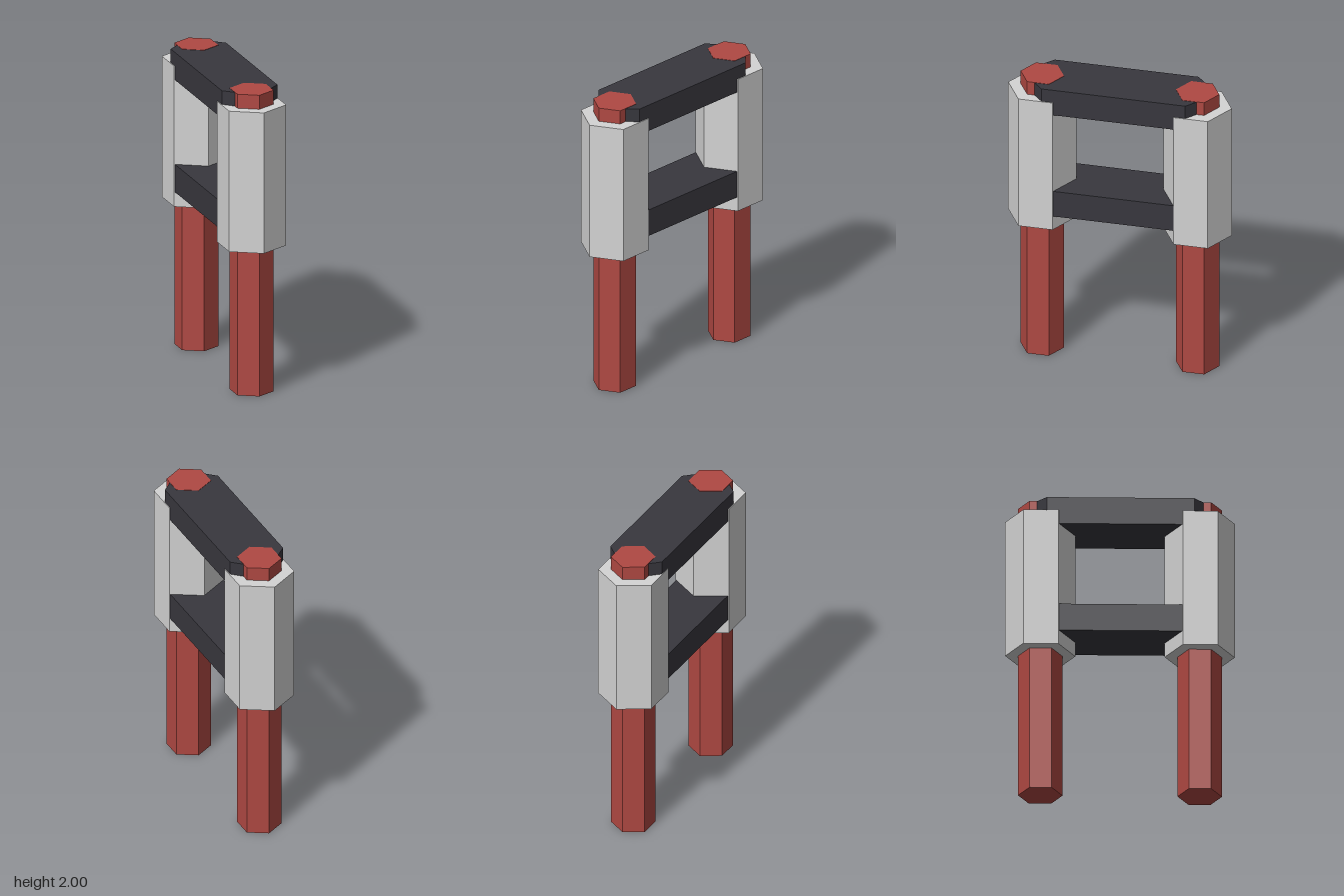
import * as THREE from 'three';

const red = new THREE.MeshStandardMaterial({ name: 'brick red', color: 0xb04943, flatShading: true });
const grey = new THREE.MeshStandardMaterial({ name: 'light grey', color: 0xd4d4d4, flatShading: true });
const dark = new THREE.MeshStandardMaterial({ name: 'charcoal', color: 0x38373e, flatShading: true });

// Hexagonal prism with corners pointing along z
function hexPrism(name, radius, y0, y1, z, material) {
  const mesh = new THREE.Mesh(new THREE.CylinderGeometry(radius, radius, y1 - y0, 6), material);
  mesh.name = name;
  mesh.position.set(0, (y0 + y1) / 2, z);
  return mesh;
}

// Crossbar along z with chamfered ends
function crossbar(name, y0, y1) {
  const shape = new THREE.Shape([
    [0.187, -0.467], [0.187, 0.467], [0.08, 0.567], [-0.08, 0.567],
    [-0.187, 0.467], [-0.187, -0.467], [-0.08, -0.567], [0.08, -0.567],
  ].map(([x, z]) => new THREE.Vector2(x, z)));
  const geometry = new THREE.ExtrudeGeometry(shape, { depth: y1 - y0, bevelEnabled: false });
  geometry.rotateX(-Math.PI / 2);
  const mesh = new THREE.Mesh(geometry, dark);
  mesh.name = name;
  mesh.position.y = y0;
  return mesh;
}

export function createModel() {
  const group = new THREE.Group();
  group.name = 'twinPostFrame';

  // Posts running through thicker sleeves, front and back
  for (const [side, sign] of [['front', 1], ['back', -1]]) {
    const z = sign * 0.505;
    group.add(hexPrism(side + 'Post', 0.141, 0, 2, z, red));
    group.add(hexPrism(side + 'Sleeve', 0.222, 0.973, 1.907, z, grey));
  }

  // Bars joining the posts
  group.add(crossbar('upperCrossbar', 1.815, 1.998));
  group.add(crossbar('lowerCrossbar', 1.07, 1.254));
  return group;
}
